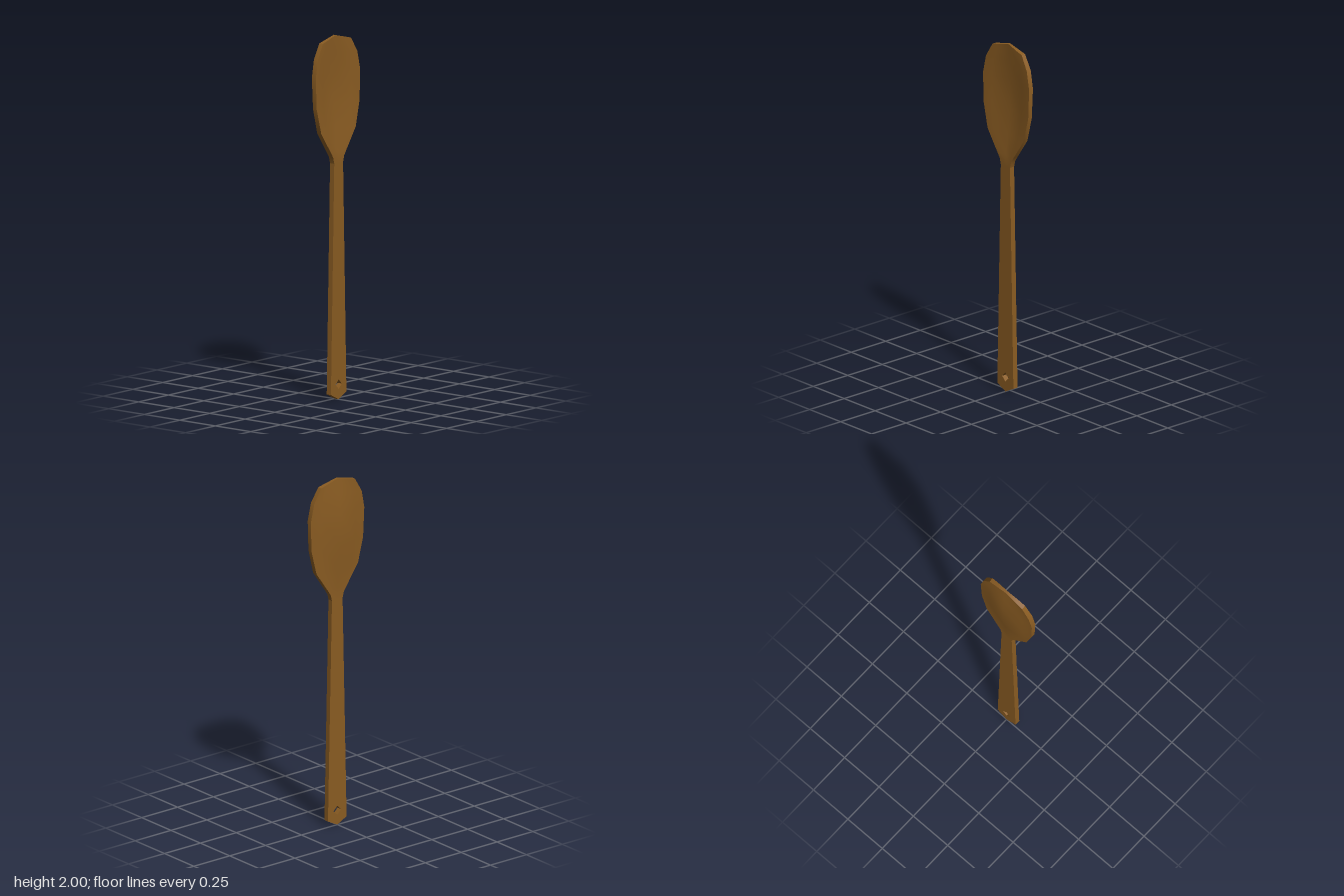
import * as THREE from 'three';
import { toCreasedNormals } from 'three/addons/utils/BufferGeometryUtils.js';

// Bowl sections from tip to neck:
// [edge y, centre lift, half width, edge back z, edge front z, centre back z, centre front z]
const SECTIONS = [
  [1.97, 0.03, 0.118, -0.007, 0.018, -0.005, 0.009],
  [1.89, 0.02, 0.165, -0.006, 0.023, -0.018, 0.004],
  [1.79, 0.01, 0.186, -0.003, 0.025, -0.03, -0.004],
  [1.62, 0, 0.18, 0, 0.026, -0.03, -0.004],
  [1.48, 0, 0.145, 0, 0.029, -0.01, 0.012],
  [1.365, 0, 0.066, 0, 0.03, -0.002, 0.025],
  [1.335, 0, 0.046, 0, 0.03, 0, 0.03],
  [1.3, 0, 0.037, 0, 0.03, 0, 0.03],
];
const STATIONS = [-1, -0.65, 0, 0.65, 1];
const DISH = [0, 0.2, 1, 0.2, 0]; // how far each station follows the centre depth

function bowlGeometry() {
  const positions = [];
  const index = [];
  const n = STATIONS.length;
  const ring = n * 2;
  for (const [y, lift, w, eb, ef, cb, cf] of SECTIONS) {
    const point = (k, edge, centre) => positions.push(
      STATIONS[k] * w,
      y + lift * (1 - Math.abs(STATIONS[k])),
      edge + (centre - edge) * DISH[k],
    );
    for (let k = 0; k < n; k++) point(k, ef, cf);
    for (let k = n - 1; k >= 0; k--) point(k, eb, cb);
  }
  for (let i = 0; i < SECTIONS.length - 1; i++) {
    for (let j = 0; j < ring; j++) {
      const a = i * ring + j;
      const b = i * ring + (j + 1) % ring;
      index.push(a, a + ring, b + ring, a, b + ring, b);
    }
  }
  // Narrow face along the tip
  for (let j = 0; j < n - 1; j++) {
    const back = ring - 1 - j;
    index.push(j, j + 1, back - 1, j, back - 1, back);
  }
  const g = new THREE.BufferGeometry();
  g.setAttribute('position', new THREE.Float32BufferAttribute(positions, 3));
  g.setIndex(index);
  return toCreasedNormals(g, Math.PI / 5);
}

function handleGeometry() {
  const outline = new THREE.Shape([
    [0, 0], [0.065, 0.033], [0.064, 0.07], [0.037, 1.3],
    [-0.037, 1.3], [-0.064, 0.07], [-0.065, 0.033],
  ].map(([x, y]) => new THREE.Vector2(x, y)));
  // Diamond hanging hole
  const r = 0.026;
  const cy = 0.083;
  outline.holes.push(new THREE.Path([
    [0, cy - r], [-r, cy], [0, cy + r], [r, cy],
  ].map(([x, y]) => new THREE.Vector2(x, y))));
  return new THREE.ExtrudeGeometry(outline, { depth: 0.03, bevelEnabled: false });
}

export function createModel() {
  const wood = new THREE.MeshStandardMaterial({ color: 0x8a5c22 });
  wood.name = 'wood';

  const spoon = new THREE.Group();
  spoon.name = 'woodenSpoon';
  const add = (name, geometry) => {
    const mesh = new THREE.Mesh(geometry, wood);
    mesh.name = name;
    spoon.add(mesh);
  };
  add('bowl', bowlGeometry());
  add('handle', handleGeometry());
  return spoon;
}
